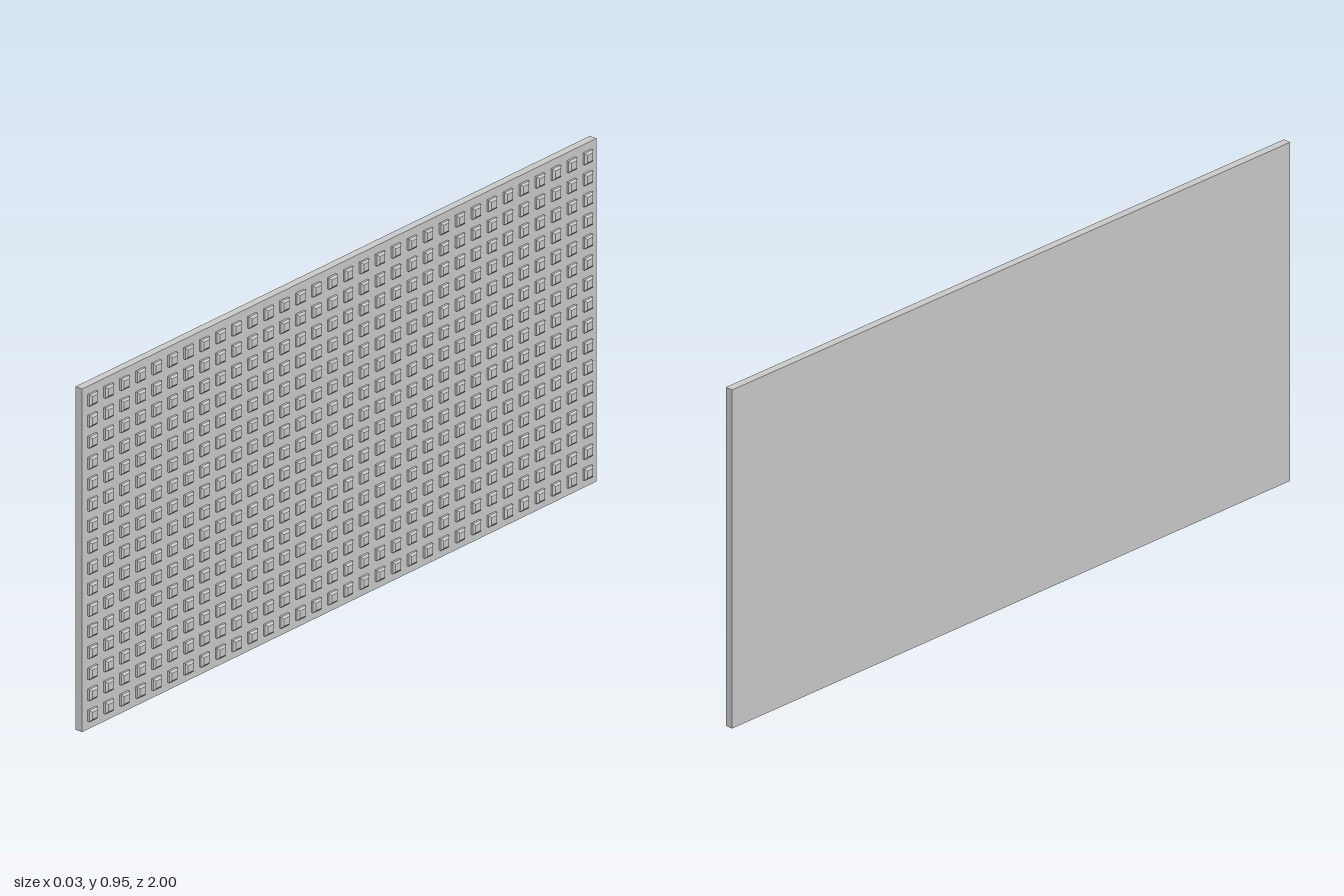
import * as THREE from 'three';
import { mergeGeometries } from 'three/addons/utils/BufferGeometryUtils.js';

const HEIGHT = 0.954, LENGTH = 2, BACK = -0.0165, FACE = 0.006, TIP = 0.0165;
const ROWS = 16, COLUMNS = 32, ROW_STEP = 0.0585, COLUMN_STEP = 0.0621;

// Square stud pointing along +x, with a chamfered tip
function studGeometry() {
  const depth = TIP - FACE;
  const profile = [[0.016, 0], [0.016, depth * 0.55], [0.0105, depth], [0, depth]]
    .map(([half, h]) => new THREE.Vector2(half * Math.SQRT2, h));
  const stud = new THREE.LatheGeometry(profile, 4).toNonIndexed();
  stud.rotateY(Math.PI / 4).rotateZ(-Math.PI / 2);
  stud.computeVertexNormals();
  return stud;
}

export function createModel() {
  const group = new THREE.Group();
  group.name = 'studdedPanel';
  const material = new THREE.MeshStandardMaterial({ color: 0xcccccc, flatShading: true });

  // Flat backing board
  const board = new THREE.Mesh(new THREE.BoxGeometry(FACE - BACK, HEIGHT, LENGTH), material);
  board.name = 'board';
  board.position.set((FACE + BACK) / 2, HEIGHT / 2, 0);
  group.add(board);

  // Regular grid of studs, one mesh per row
  const stud = studGeometry();
  for (let r = 0; r < ROWS; r++) {
    const studs = [];
    for (let c = 0; c < COLUMNS; c++) {
      studs.push(stud.clone().translate(0, 0, (c - (COLUMNS - 1) / 2) * COLUMN_STEP));
    }
    const row = new THREE.Mesh(mergeGeometries(studs), material);
    row.name = `studRow${r + 1}`;
    row.position.set(FACE, HEIGHT / 2 + (r - (ROWS - 1) / 2) * ROW_STEP, 0);
    group.add(row);
  }
  return group;
}
